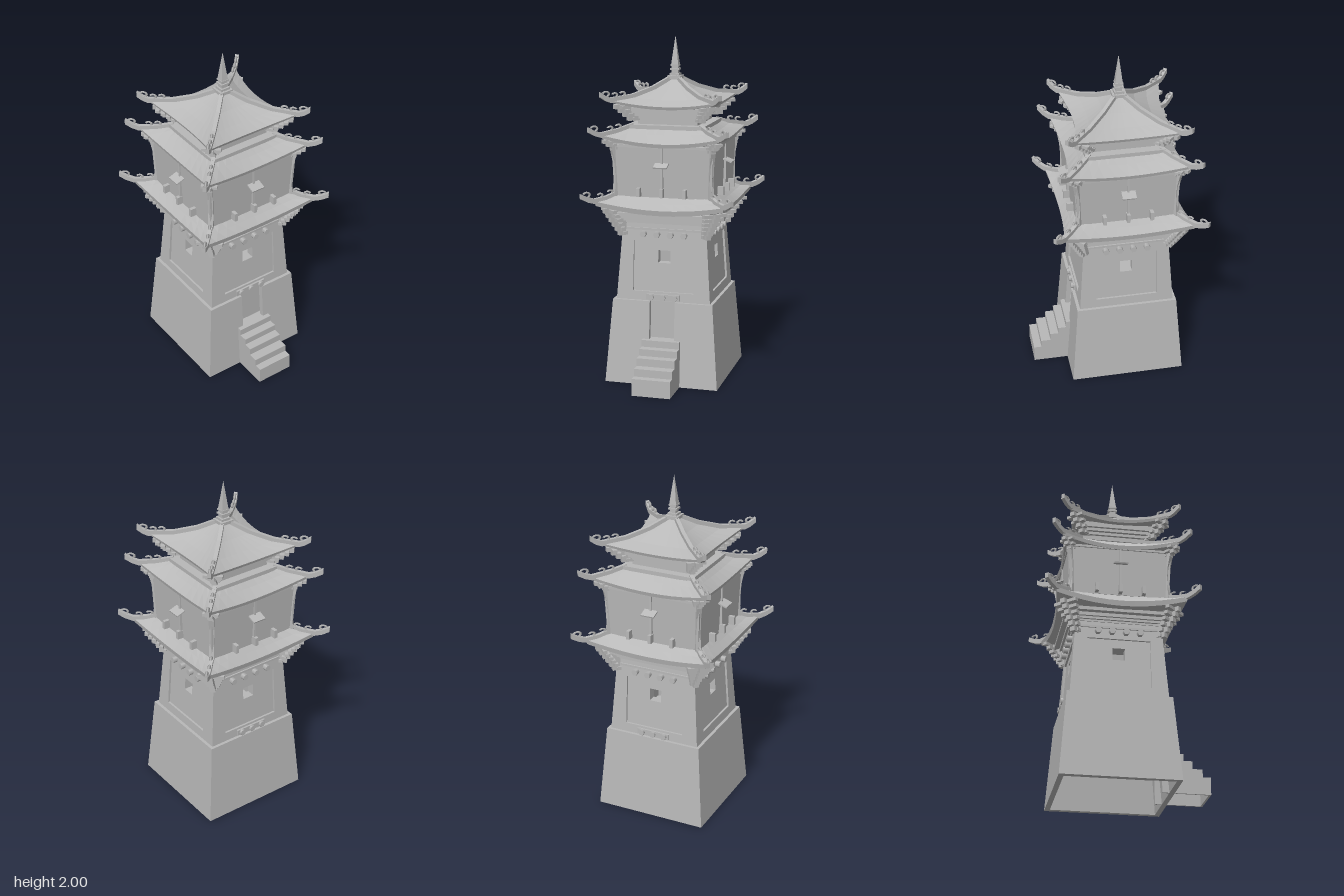
import * as THREE from 'three';

const stone = new THREE.MeshStandardMaterial({ color: 0xb8b8b8 });
stone.name = 'grey stone';

function add(parent, name, geo, x = 0, y = 0, z = 0) {
  const m = new THREE.Mesh(geo, stone);
  m.name = name;
  m.position.set(x, y, z);
  parent.add(m);
  return m;
}
const box = (p, name, w, h, d, x, y, z) => add(p, name, new THREE.BoxGeometry(w, h, d), x, y, z);
// square slab of half width hw between two heights
const slab = (p, name, hw, y0, y1) => box(p, name, hw * 2, y1 - y0, hw * 2, 0, (y0 + y1) / 2, 0);
const poly = pts => new THREE.Shape(pts.map(([x, y]) => new THREE.Vector2(x, y)));
const rect = (x0, y0, x1, y1) => poly([[x0, y0], [x1, y0], [x1, y1], [x0, y1]]);
const extrude = (shape, depth) => new THREE.ExtrudeGeometry(shape, { depth, bevelEnabled: false, curveSegments: 8 });

// calls build(group, index) for the four sides, front first
function sides(parent, name, build, turn = 0) {
  for (let k = 0; k < 4; k++) {
    const g = new THREE.Group();
    g.name = name;
    g.rotation.y = k * Math.PI / 2 + turn;
    parent.add(g);
    build(g, k);
  }
}
// four corner groups whose x axis runs along the diagonal, measured in half widths
const corners = (parent, name, build) => sides(parent, name, g => { g.scale.x = Math.SQRT2; build(g); }, Math.PI / 4);

// leaning wall: shape extruded inwards and sheared to follow half width hw0..hw1
function wall(parent, name, [y0, hw0, y1, hw1], depth, inset, holes = [], notch = null) {
  const a = hw0 - inset, b = hw1 - inset;
  const top = notch ? [[notch[0], y1], [notch[0], notch[1]], [-notch[0], notch[1]], [-notch[0], y1]] : [];
  const shape = poly([[-a, y0], [a, y0], [b, y1], ...top, [-b, y1]]);
  shape.holes.push(...holes);
  const geo = extrude(shape, depth), p = geo.attributes.position;
  for (let i = 0; i < p.count; i++) {
    const t = (p.getY(i) - y0) / (y1 - y0);
    p.setZ(i, p.getZ(i) - depth + a + (b - a) * t);
  }
  geo.computeVertexNormals();
  add(parent, name, geo);
}

// swept square roof; each row is [half width, y, corner flare, corner lift]
function roofGeometry(rows, n = 10) {
  const pos = [];
  const point = (i, j, k) => {
    const [h, y, flare, lift] = rows[i], u = j / n * 2 - 1;
    const v = new THREE.Vector3(u * (h + flare), y + lift * u * u, h + flare * u * u);
    return v.applyAxisAngle(new THREE.Vector3(0, 1, 0), k * Math.PI / 2).toArray();
  };
  for (let k = 0; k < 4; k++) for (let i = 0; i < rows.length - 1; i++) for (let j = 0; j < n; j++) {
    const a = point(i, j, k), b = point(i + 1, j, k), c = point(i + 1, j + 1, k), d = point(i, j + 1, k);
    pos.push(...a, ...b, ...c, ...a, ...c, ...d);
  }
  const geo = new THREE.BufferGeometry();
  geo.setAttribute('position', new THREE.Float32BufferAttribute(pos, 3));
  geo.computeVertexNormals();
  return geo;
}

// strip along a corner diagonal, between lower and upper offsets of a path
function diagonalStrip(g, name, path, low, high, width) {
  const pts = [...path.map(([x, y]) => [x, y - low]), ...path.map(([x, y]) => [x, y + high]).reverse()];
  add(g, name, extrude(poly(pts), width), 0, 0, -width / 2);
}

function roof(parent, name, rows, tip, hooks, bracket) {
  const g = new THREE.Group();
  g.name = name;
  parent.add(g);
  add(g, 'roofTiles', roofGeometry(rows));
  const path = rows.slice(0, -2).map(([h, y, f, l]) => [h + f, y + l]);
  const [cx, cy] = path[path.length - 1];
  const full = [...path, [cx + (tip - cx) * 0.5, cy + 0.012], [tip, cy + 0.034]];
  const ridgeY = x => {
    let i = 1;
    while (i < full.length - 1 && full[i][0] < x) i++;
    const [x0, y0] = full[i - 1], [x1, y1] = full[i];
    return y0 + (y1 - y0) * (x - x0) / (x1 - x0);
  };
  corners(g, 'hip', c => {
    diagonalStrip(c, 'hipRidge', full, 0.014, 0.016, 0.022);
    // curled ornaments along the ridge and at its end
    [...hooks, tip - 0.026].forEach((x, i) => {
      const s = i === hooks.length ? 1.1 : 0.85;
      const curl = add(c, 'ridgeCurl', new THREE.TorusGeometry(0.013 * s, 0.0055, 4, 7, Math.PI * 1.3), x, ridgeY(x) + 0.026, 0);
      curl.rotation.z = Math.PI * 0.1;
      curl.scale.z = 1.5;
    });
    // stepped corner brackets under the eave
    const { x0, x1, y0, y1, n } = bracket, h = (y1 - y0) / n;
    for (let i = 0; i < n; i++) {
      const out = x0 + (x1 - x0) * i / (n - 1), len = 0.05 + 0.008 * i;
      box(c, 'cornerBracket', len, h * 1.02, 0.03, out - len / 2, y0 + h * (i + 0.5), 0);
      box(c, 'bracketArm', 0.018, h * 0.7, 0.05 + 0.02 * i, out - 0.025, y0 + h * (i + 0.5), 0);
    }
  });
}

function trefoil(cx, cy) {
  const s = new THREE.Path();
  s.moveTo(cx - 0.035, cy - 0.035);
  s.lineTo(cx + 0.035, cy - 0.035);
  s.absarc(cx + 0.037, cy - 0.012, 0.023, -Math.PI / 2, Math.PI * 0.72, false);
  s.absarc(cx, cy + 0.02, 0.025, -0.3, Math.PI + 0.3, false);
  s.absarc(cx - 0.037, cy - 0.012, 0.023, Math.PI * 0.28, Math.PI * 1.5, false);
  return s;
}

const stud = (g, x, y, z) => {
  add(g, 'beamEnd', new THREE.CylinderGeometry(0.019, 0.019, 0.04, 6), x, y, z).rotation.set(Math.PI / 2, Math.PI / 6, 0);
};

export function createModel() {
  const model = new THREE.Group();
  model.name = 'watchtower';
  const tower = new THREE.Group();
  tower.name = 'tower';
  tower.position.z = -0.05;
  model.add(tower);

  // hollow base with the doorway notch at the front
  sides(tower, 'baseSide', (g, k) => {
    wall(g, 'baseWall', [0, 0.335, 0.492, 0.296], 0.03, 0, [], k === 0 ? [0.074, 0.27] : null);
  });
  slab(tower, 'baseCeiling', 0.285, 0.2, 0.215);
  slab(tower, 'baseTop', 0.255, 0.47, 0.492);
  box(tower, 'door', 0.18, 0.26, 0.02, 0, 0.362, 0.252);

  // stairs: stepped treads between two cheeks
  const steps = [[0.49, 0.1], [0.445, 0.145], [0.388, 0.19], [0.338, 0.23], [0.29, 0.27]];
  const line = [];
  steps.forEach(([z, y], i) => line.push([z, i ? steps[i - 1][1] : 0], [z, y]));
  line.push([0.215, 0.27]);
  const inner = line.map(([z, y]) => [z - 0.012, Math.max(0, y - 0.012)]).reverse();
  const stairs = new THREE.Group();
  stairs.name = 'stairs';
  stairs.rotation.y = -Math.PI / 2;
  model.add(stairs);
  add(stairs, 'treads', extrude(poly([...line, ...inner]), 0.22), 0, 0, -0.11);
  for (const z of [-0.112, 0.102]) add(stairs, 'stairCheek', extrude(poly([[0.215, 0], ...line]), 0.01), 0, 0, z);

  // lower storey: recessed panel with a through window on every side
  const body = [0.492, 0.278, 0.95, 0.245];
  sides(tower, 'lowerSide', (g, k) => {
    wall(g, 'outerWall', body, 0.014, 0, [rect(-0.18, 0.545, 0.18, 0.838)]);
    wall(g, 'innerWall', body, 0.05, 0.012, [rect(-0.036, 0.712, 0.036, 0.785)]);
    for (const x of [-0.12, -0.04, 0.04, 0.12]) stud(g, x, 0.88, 0.258);
    box(g, 'frieze', 0.44, 0.012, 0.02, 0, 0.908, 0.246);
    if (k % 2 === 0) {
      box(g, 'lintel', 0.2, 0.035, 0.02, 0, 0.515, 0.276);
      for (const x of [-0.07, 0, 0.07]) stud(g, x, 0.515, 0.28);
    }
  });
  [[0.25, 0.94, 0.952], [0.262, 0.952, 0.966], [0.275, 0.966, 0.986], [0.305, 0.986, 1.006]]
    .forEach(([hw, a, b]) => slab(tower, 'lowerCornice', hw, a, b));

  roof(tower, 'lowerRoof', [[0.27, 1.112, 0, 0], [0.31, 1.07, 0.015, 0.017], [0.348, 1.035, 0.028, 0.043],
    [0.342, 1.005, 0.028, 0.045], [0.25, 1.0, 0, 0]], 0.437, [0.305, 0.35],
    { x0: 0.268, x1: 0.335, y0: 0.865, y1: 1.03, n: 6 });

  // upper storey: trefoil walls, posts and small awnings
  slab(tower, 'upperCore', 0.265, 1.09, 1.4);
  sides(tower, 'upperSide', g => {
    wall(g, 'upperWall', [1.1, 0.285, 1.4, 0.297], 0.02, 0, [trefoil(-0.135, 1.255), trefoil(0.135, 1.255)]);
    box(g, 'centrePost', 0.012, 0.27, 0.016, 0, 1.255, 0.295);
    box(g, 'awning', 0.08, 0.008, 0.055, 0, 1.288, 0.318).rotation.x = 0.35;
    for (const x of [-0.135, 0, 0.135]) box(g, 'footPost', 0.02, 0.05, 0.045, x, 1.13, 0.3);
    box(g, 'headBeam', 0.6, 0.014, 0.02, 0, 1.392, 0.294);
  });
  corners(tower, 'upperCorner', c =>
    diagonalStrip(c, 'cornerPost', [[0.285, 1.1], [0.28, 1.2], [0.284, 1.3], [0.296, 1.38], [0.3, 1.4]]
      .flatMap(([x, y], i, all) => i ? [[x, y]] : [[x, y]]).map(([x, y]) => [x, y]), 0, 0.012, 0.03));
  corners(tower, 'upperCorner', c => {
    const edge = [[0.29, 1.1], [0.282, 1.2], [0.288, 1.3], [0.304, 1.4]];
    const back = edge.map(([x, y]) => [x - 0.03, y]).reverse();
    add(c, 'bowedPost', extrude(poly([...back.reverse(), ...edge.slice().reverse()].reverse()), 0.03), 0, 0, -0.015);
  });

  roof(tower, 'middleRoof', [[0.2, 1.495, 0, 0], [0.25, 1.45, 0.015, 0.02], [0.31, 1.408, 0.033, 0.045],
    [0.304, 1.386, 0.033, 0.047], [0.2, 1.385, 0, 0]], 0.4, [0.265, 0.302],
    { x0: 0.3, x1: 0.335, y0: 1.365, y1: 1.425, n: 3 });

  // narrow neck flaring up to the top roof
  [[0.225, 1.48, 1.503], [0.175, 1.5, 1.535], [0.19, 1.535, 1.552], [0.207, 1.552, 1.57], [0.222, 1.57, 1.602]]
    .forEach(([hw, a, b]) => slab(tower, 'neck', hw, a, b));

  roof(tower, 'topRoof', [[0.02, 1.755, 0, 0], [0.1, 1.69, 0.008, 0.008], [0.18, 1.642, 0.022, 0.018],
    [0.255, 1.612, 0.045, 0.035], [0.249, 1.595, 0.045, 0.037], [0.17, 1.592, 0, 0]], 0.346, [0.245, 0.28],
    { x0: 0.222, x1: 0.282, y0: 1.525, y1: 1.62, n: 4 });

  // finial
  [[0.032, 1.735, 1.75], [0.04, 1.75, 1.768], [0.028, 1.768, 1.782], [0.018, 1.782, 1.8], [0.026, 1.8, 1.81],
    [0.018, 1.81, 1.822], [0.024, 1.822, 1.832]].forEach(([hw, a, b]) => slab(tower, 'finialBase', hw, a, b));
  const spire = add(tower, 'spire', new THREE.ConeGeometry(0.03, 0.17, 4).toNonIndexed(), 0, 1.915, 0);
  spire.geometry.computeVertexNormals();
  spire.rotation.y = Math.PI / 4;
  return model;
}
